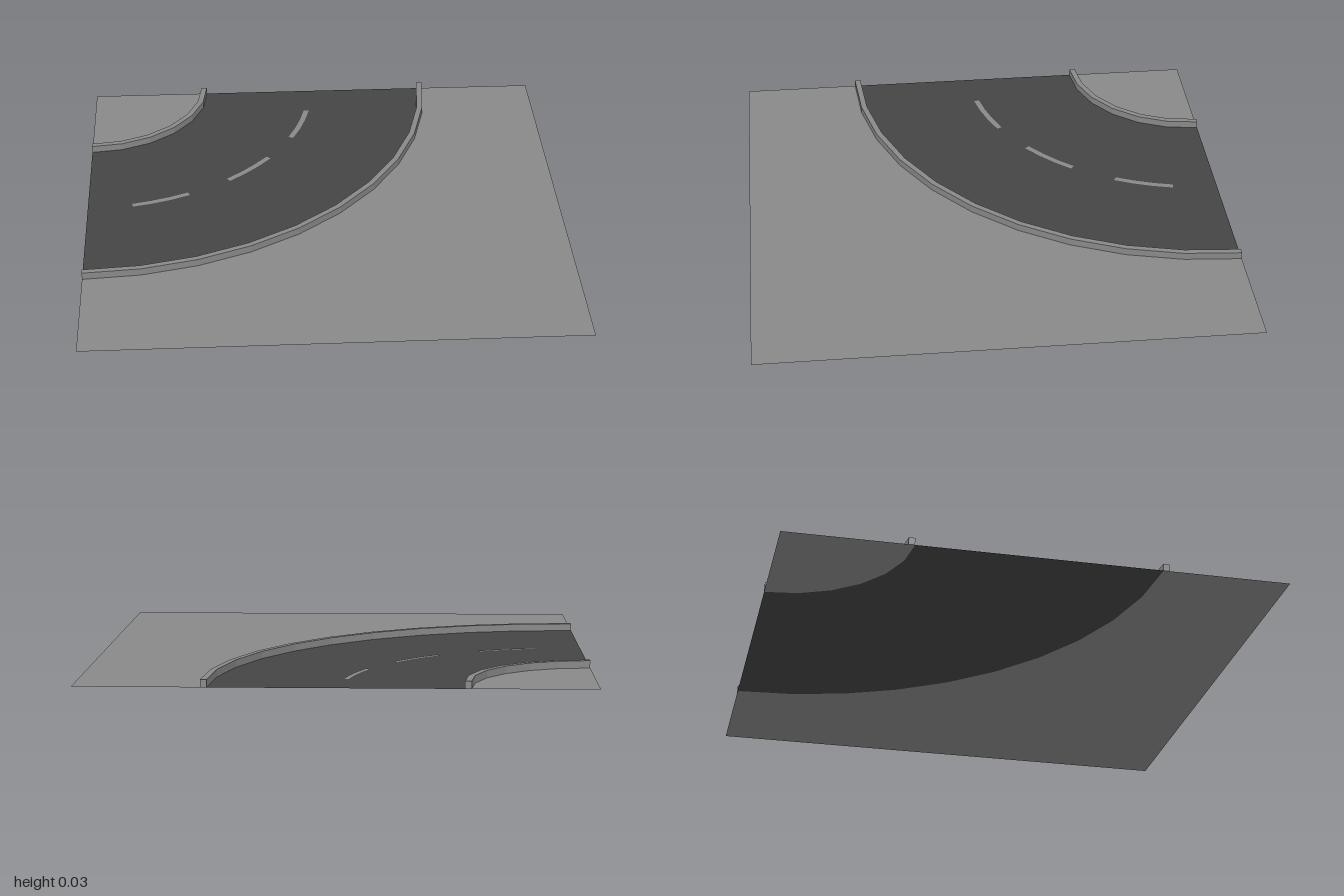
import * as THREE from 'three';

const KERB_HEIGHT = 0.03;
const INNER = [0.485, 0.51];   // inner kerb radii
const OUTER = [1.485, 1.51];   // outer kerb radii
const INNER_STEPS = 6;
const OUTER_STEPS = 10;

// Points on an arc about the back right corner; angles in degrees from the back edge
function arc(radius, from, to, steps) {
  return Array.from({ length: steps + 1 }, (_, i) => {
    const a = THREE.MathUtils.degToRad(from + (to - from) * i / steps);
    return new THREE.Vector2(-1 + radius * Math.cos(a), 1 - radius * Math.sin(a));
  });
}

// Curved band between two radii
function band(rIn, rOut, from, to, stepsIn, stepsOut = stepsIn) {
  return new THREE.Shape([
    ...arc(rIn, from, to, stepsIn),
    ...arc(rOut, from, to, stepsOut).reverse(),
  ]);
}

export function createModel() {
  const model = new THREE.Group();
  model.name = 'roadCorner';

  const paving = new THREE.MeshStandardMaterial({ color: 0x888888, side: THREE.DoubleSide });
  paving.name = 'paving grey';
  const asphalt = new THREE.MeshStandardMaterial({ color: 0x444444, side: THREE.DoubleSide });
  asphalt.name = 'asphalt grey';

  // Lays a shape flat, or raises it to a solid when a height is given
  function add(name, shape, material, y = 0, height = 0) {
    const geometry = height
      ? new THREE.ExtrudeGeometry(shape, { depth: height, bevelEnabled: false })
      : new THREE.ShapeGeometry(shape);
    geometry.rotateX(-Math.PI / 2);
    const mesh = new THREE.Mesh(geometry, material);
    mesh.name = name;
    mesh.position.y = y;
    model.add(mesh);
  }

  // Ground inside and outside the bend
  add('innerGround', new THREE.Shape([
    new THREE.Vector2(-1, 1), ...arc(INNER[0], 0, 90, INNER_STEPS),
  ]), paving);
  add('outerGround', new THREE.Shape([
    ...arc(OUTER[1], 0, 90, OUTER_STEPS),
    new THREE.Vector2(-1, -1), new THREE.Vector2(1, -1), new THREE.Vector2(1, 1),
  ]), paving);

  // Road surface
  add('road', band(INNER[1], OUTER[0], 0, 90, INNER_STEPS, OUTER_STEPS), asphalt);

  // Raised kerbs
  add('innerKerb', band(...INNER, 0, 90, INNER_STEPS), paving, 0, KERB_HEIGHT);
  add('outerKerb', band(...OUTER, 0, 90, OUTER_STEPS), paving, 0, KERB_HEIGHT);

  // Dashed centre line
  for (const middle of [18.5, 45, 71.5]) {
    add('laneDash', band(0.97, 0.993, middle - 7.4, middle + 7.4, 3), paving, 0.002);
  }

  return model;
}
